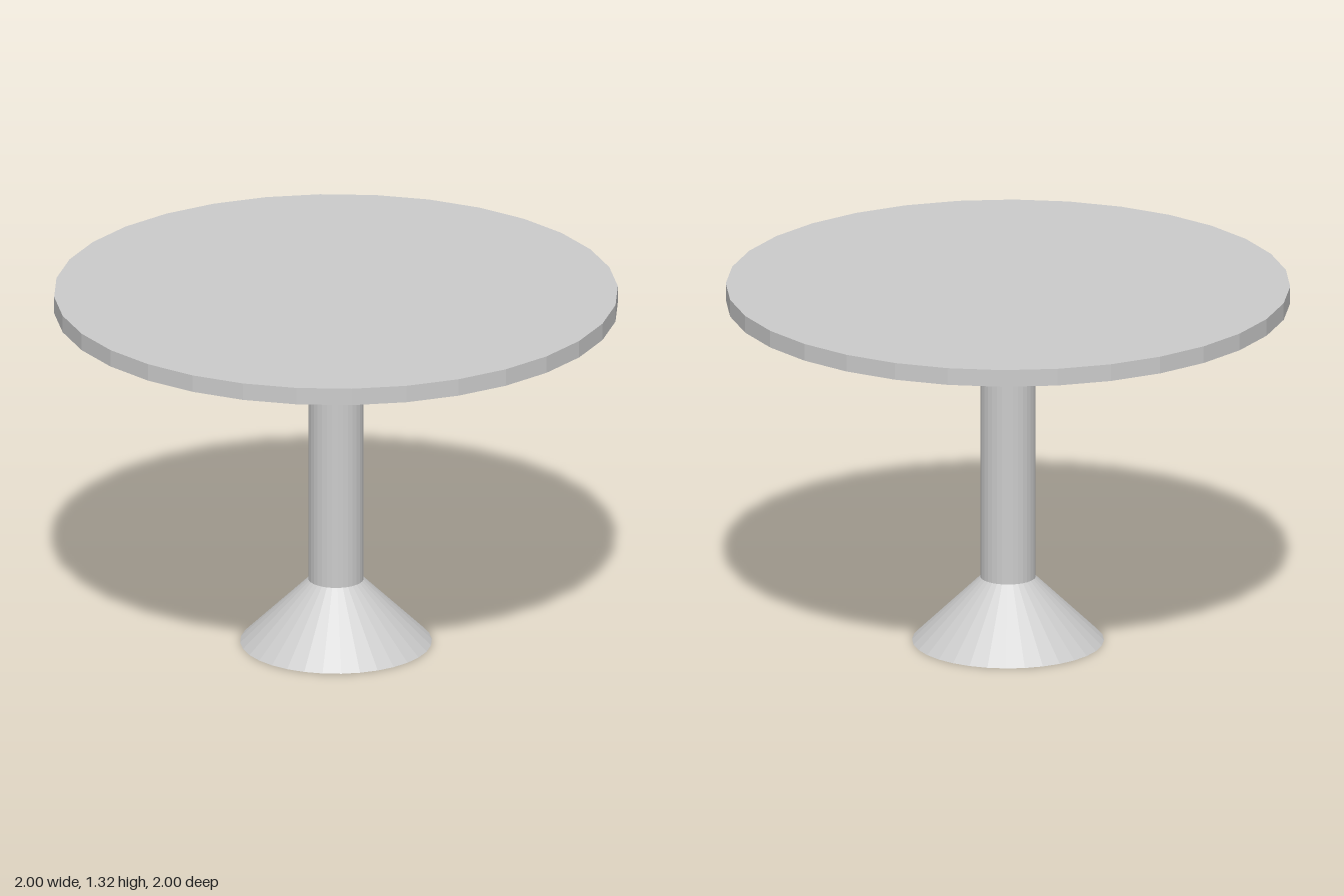
import * as THREE from 'three';

const SIDES = 32;
const material = new THREE.MeshStandardMaterial({ color: 0xcccccc, flatShading: true });

// A faceted round part spanning yBottom to yTop
function roundPart(name, rTop, rBottom, yBottom, yTop) {
  const geometry = new THREE.CylinderGeometry(rTop, rBottom, yTop - yBottom, SIDES);
  geometry.translate(0, (yTop + yBottom) / 2, 0);
  const mesh = new THREE.Mesh(geometry, material);
  mesh.name = name;
  return mesh;
}

export function createModel() {
  const table = new THREE.Group();
  table.name = 'pedestalTable';
  table.add(
    roundPart('base', 0.098, 0.34, 0, 0.235), // flared foot
    roundPart('column', 0.098, 0.098, 0.235, 1.256),
    roundPart('tabletop', 1, 1, 1.256, 1.318)
  );
  return table;
}
